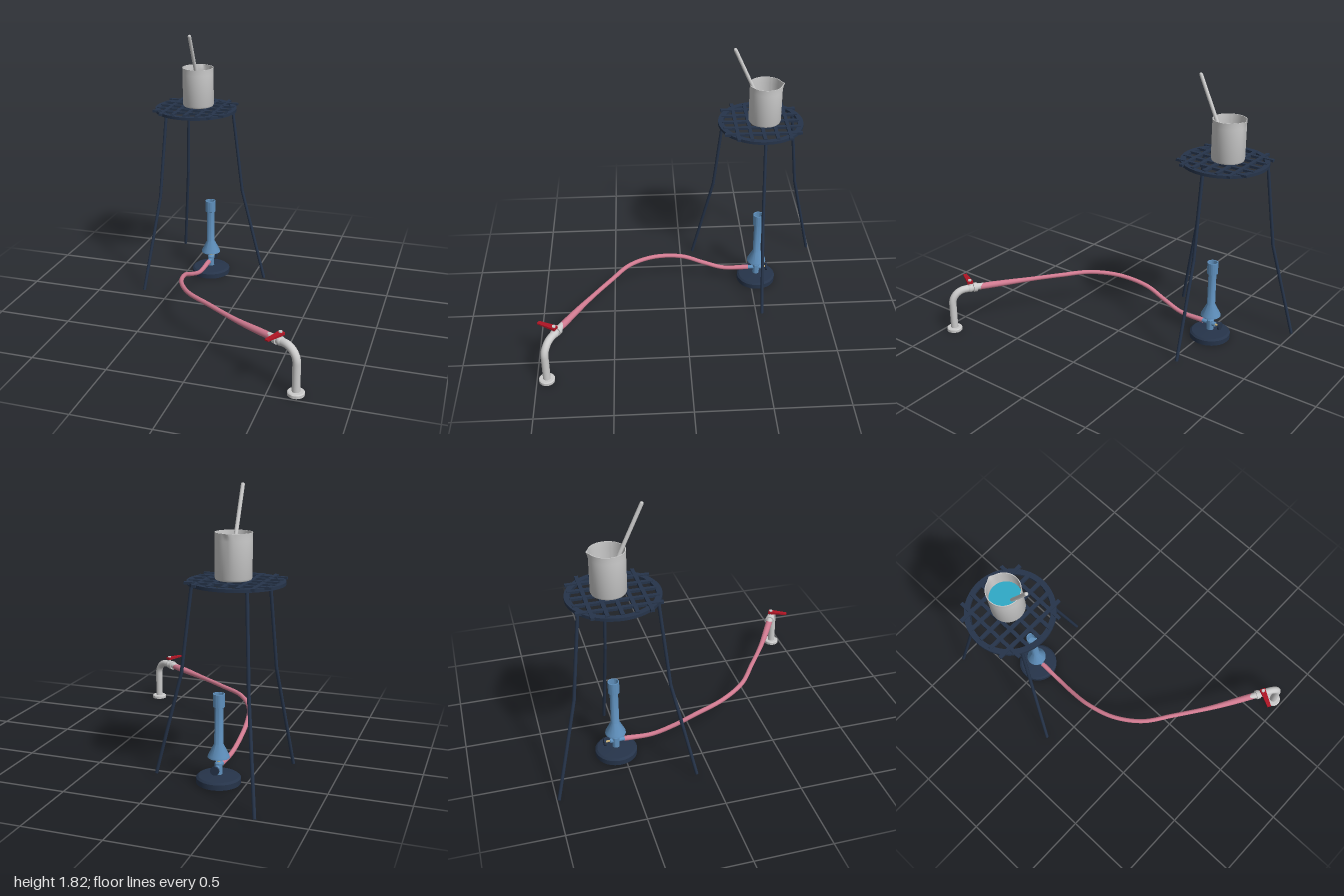
import * as THREE from 'three';
import { toCreasedNormals } from 'three/addons/utils/BufferGeometryUtils.js';

const material = (color) => new THREE.MeshStandardMaterial({ color, side: THREE.DoubleSide });
const V = (x, y, z) => new THREE.Vector3(x, y, z);

export function createModel() {
  const model = new THREE.Group();
  const grey = material(0xcccccc);
  const iron = material(0x26344a);
  const blue = material(0x5f90bd);
  const brass = material(0xc9b27a);
  const pink = material(0xd07a90);
  const red = material(0xb01525);
  const water = material(0x2fa9c6);

  function add(parent, name, geometry, mat, x = 0, y = 0, z = 0) {
    const mesh = new THREE.Mesh(geometry, mat);
    mesh.name = name;
    mesh.position.set(x, y, z);
    parent.add(mesh);
    return mesh;
  }
  function group(name, x = 0, y = 0, z = 0) {
    const g = new THREE.Group();
    g.name = name;
    g.position.set(x, y, z);
    model.add(g);
    return g;
  }
  const lathe = (points, segments = 40) => toCreasedNormals(
    new THREE.LatheGeometry(points.map(([r, y]) => new THREE.Vector2(r, y)), segments), 0.6);

  // Straight rod between two points
  function rod(parent, name, a, b, radius, mat, endRadius = radius, sides = 20) {
    const dir = b.clone().sub(a);
    const mesh = add(parent, name, new THREE.CylinderGeometry(endRadius, radius, dir.length(), sides), mat);
    mesh.position.copy(a).add(b).multiplyScalar(0.5);
    mesh.quaternion.setFromUnitVectors(V(0, 1, 0), dir.normalize());
    return mesh;
  }

  // Tripod: flat ring, wire grid and three bent legs
  const tripod = group('tripod', -0.43, 0, -0.54);
  add(tripod, 'ring', lathe([[0.254, 1.245], [0.29, 1.245], [0.29, 1.265], [0.254, 1.265], [0.254, 1.245]], 56), iron);
  for (let i = -2; i <= 2; i++) {
    add(tripod, 'gridBarLengthwise', new THREE.BoxGeometry(0.024, 0.016, 0.52), iron, i * 0.087, 1.263, 0);
    add(tripod, 'gridBarCrosswise', new THREE.BoxGeometry(0.52, 0.016, 0.024), iron, 0, 1.264, i * 0.087);
  }
  for (let i = 0; i < 3; i++) {
    const leg = new THREE.Group();
    leg.name = 'leg';
    leg.rotation.y = i * Math.PI * 2 / 3;
    rod(leg, 'upperLeg', V(0.345, 0.67, 0), V(0.275, 1.25, 0), 0.011, iron, 0.011, 12);
    rod(leg, 'lowerLeg', V(0.515, 0.003, 0), V(0.345, 0.67, 0), 0.011, iron, 0.011, 12);
    add(leg, 'knee', new THREE.SphereGeometry(0.011, 12, 8), iron, 0.345, 0.67, 0);
    tripod.add(leg);
  }

  // Beaker with a small spout at the back, water and stirring rod
  const beaker = group('beaker', -0.42, 1.272, -0.565);
  const wall = new THREE.LatheGeometry([
    [0, 0], [0.095, 0], [0.105, 0.004], [0.11, 0.015], [0.11, 0.235], [0.11, 0.26], [0.111, 0.278],
    [0.106, 0.278], [0.105, 0.26], [0.105, 0.235], [0.105, 0.015], [0.095, 0.008], [0, 0.008],
  ].map(([r, y]) => new THREE.Vector2(r, y)), 64);
  const pos = wall.attributes.position;
  for (let i = 0; i < pos.count; i++) {
    const x = pos.getX(i), y = pos.getY(i), z = pos.getZ(i);
    const lift = Math.max(0, (y - 0.235) / 0.043);
    const near = Math.max(0, 1 - Math.abs(x) / 0.03);
    if (z < 0) pos.setZ(i, z - 0.012 * lift * near);
  }
  add(beaker, 'beakerWall', toCreasedNormals(wall, 0.7), grey);
  add(beaker, 'water', new THREE.CylinderGeometry(0.104, 0.104, 0.15, 48), water, 0, 0.085, 0);
  const stirrer = group('stirringRod');
  rod(stirrer, 'rodShaft', V(-0.405, 1.29, -0.587), V(-0.405, 1.805, -0.35), 0.012, grey);
  add(stirrer, 'rodTip', new THREE.SphereGeometry(0.012, 16, 12), grey, -0.405, 1.805, -0.35);

  // Gas burner: base, stem, chimney, inlet and control knob
  const burner = group('burner', -0.328, 0, -0.543);
  add(burner, 'base', lathe([[0, 0], [0.138, 0], [0.138, 0.034], [0.125, 0.045], [0.03, 0.054], [0, 0.054]], 48), iron);
  add(burner, 'stem', lathe([[0, 0.05], [0.024, 0.05], [0.024, 0.125], [0.016, 0.135], [0, 0.135]]), blue);
  add(burner, 'jet', new THREE.CylinderGeometry(0.01, 0.012, 0.08, 16), brass, 0, 0.165, 0);
  add(burner, 'chimney', lathe([
    [0, 0.18], [0.06, 0.163], [0.068, 0.163], [0.066, 0.175], [0.028, 0.25], [0.027, 0.48], [0.037, 0.485],
    [0.037, 0.566], [0.03, 0.566], [0.03, 0.49], [0, 0.49],
  ]), blue);
  rod(burner, 'inlet', V(0, 0.1, 0), V(0, 0.1, 0.075), 0.014, blue);
  rod(burner, 'valveBody', V(0, 0.1, 0), V(0, 0.1, -0.04), 0.016, blue);
  rod(burner, 'knobStem', V(0, 0.1, -0.035), V(0, 0.1, -0.08), 0.007, brass);
  rod(burner, 'knob', V(0, 0.1, -0.07), V(0, 0.1, -0.082), 0.028, iron);

  // Points along the pipe run; d is the distance from the riser
  const along = (d, y = 0.298) => V(0.668 - 0.873 * d, y, 0.935 - 0.488 * d);

  // Rubber hose, widening where it slips over the tap
  const hosePath = new THREE.CatmullRomCurve3([
    V(-0.328, 0.1, -0.485), V(-0.333, 0.1, -0.3), V(-0.342, 0.145, -0.155), V(-0.342, 0.207, 0),
    V(-0.295, 0.248, 0.2), V(-0.18, 0.27, 0.38), V(0, 0.278, 0.515), V(0.24, 0.284, 0.683), along(0.2, 0.296),
  ]);
  const steps = 120, sides = 20;
  const hose = new THREE.TubeGeometry(hosePath, steps, 0.015, sides);
  const hp = hose.attributes.position;
  for (let i = 0; i <= steps; i++) {
    const t = i / steps;
    const centre = hosePath.getPointAt(t);
    const scale = 1 + 0.5 * THREE.MathUtils.smoothstep(t, 0.75, 0.97) + 0.15 * (1 - THREE.MathUtils.smoothstep(t, 0, 0.1));
    for (let j = 0; j <= sides; j++) {
      const k = i * (sides + 1) + j;
      const p = V().fromBufferAttribute(hp, k).sub(centre).multiplyScalar(scale).add(centre);
      hp.setXYZ(k, p.x, p.y, p.z);
    }
  }
  add(model, 'hose', hose, pink);

  // Gas tap: flange, bent pipe, valve and lever
  const tap = group('gasTap');
  add(tap, 'flange', lathe([[0, 0], [0.052, 0], [0.052, 0.018], [0.046, 0.023], [0.025, 0.023]]), grey, 0.668, 0, 0.935);
  const pipe = new THREE.CurvePath();
  pipe.add(new THREE.LineCurve3(along(0, 0.01), along(0, 0.205)));
  pipe.add(new THREE.CubicBezierCurve3(along(0, 0.205), along(0, 0.256), along(0.042), along(0.093)));
  pipe.add(new THREE.LineCurve3(along(0.093), along(0.15)));
  add(tap, 'pipe', new THREE.TubeGeometry(pipe, 60, 0.025, 24), grey);
  add(tap, 'valveBall', new THREE.SphereGeometry(0.029, 24, 16), grey).position.copy(along(0.13));
  rod(tap, 'collar', along(0.152), along(0.178), 0.032, grey);
  rod(tap, 'nozzle', along(0.178), along(0.25), 0.024, grey, 0.017);
  rod(tap, 'valveStem', along(0.13, 0.3), along(0.13, 0.362), 0.012, grey);

  // Lever tapers towards its outer end
  const outline = new THREE.Shape([[-0.02, -0.016], [0.02, -0.016], [0.013, 0.12], [-0.013, 0.12]]
    .map(([x, y]) => new THREE.Vector2(x, y)));
  const leverGeometry = new THREE.ExtrudeGeometry(outline, { depth: 0.018, bevelEnabled: false });
  leverGeometry.rotateX(Math.PI / 2);
  const lp = leverGeometry.attributes.position;
  for (let i = 0; i < lp.count; i++) {
    if (lp.getZ(i) > 0.1) lp.setY(i, lp.getY(i) * 0.5 - 0.004);
  }
  leverGeometry.computeVertexNormals();
  const lever = add(tap, 'lever', leverGeometry, red);
  lever.position.copy(along(0.13, 0.355));
  lever.rotation.y = -0.5;

  return model;
}
